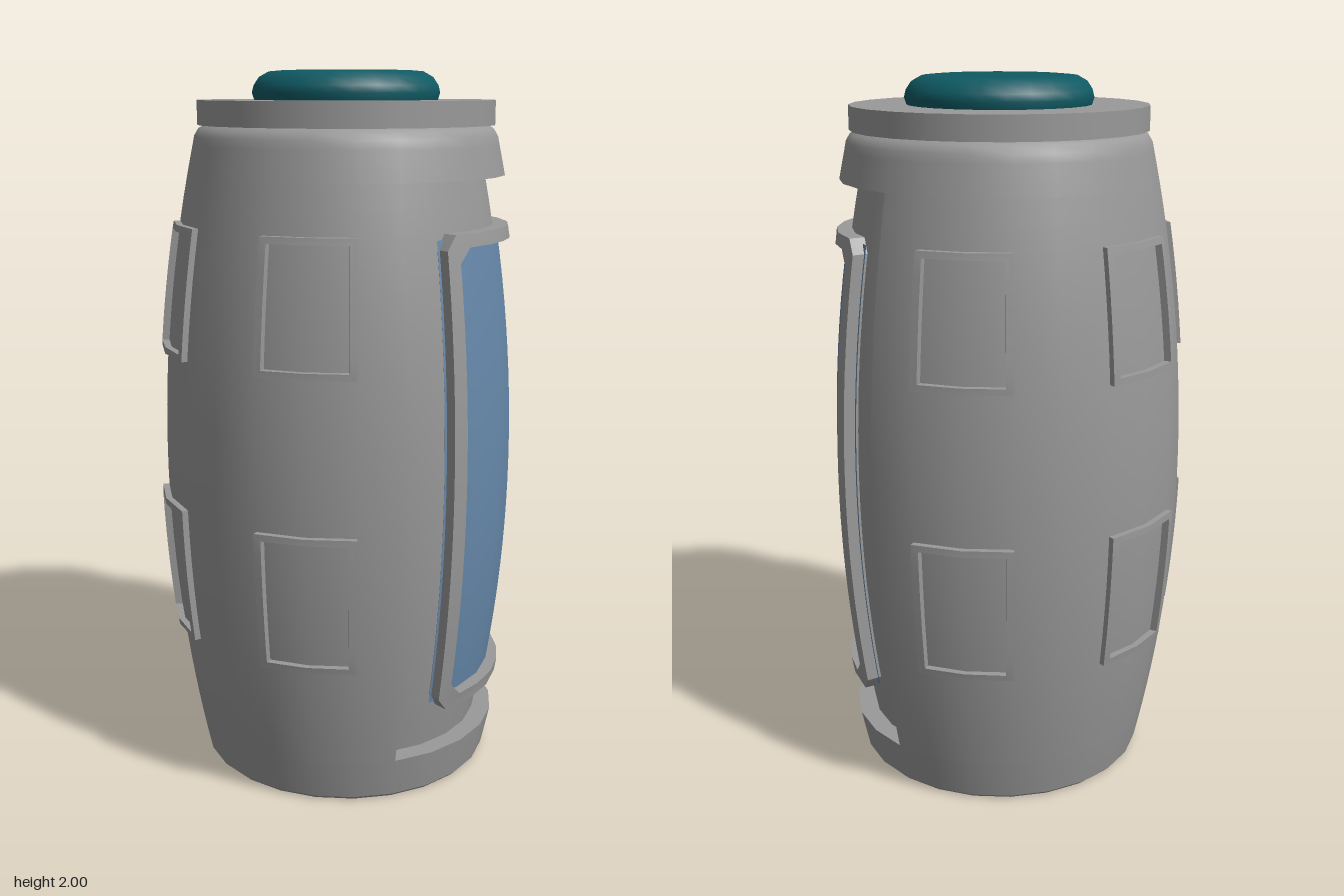
import * as THREE from 'three';
import { toCreasedNormals } from 'three/addons/utils/BufferGeometryUtils.js';

const STEP = Math.PI / 12; // 24-sided barrel
const deg = THREE.MathUtils.degToRad;

// Barrel radius at a given height
const radius = (y) => 0.525 - 0.124 * (y - 0.92) ** 2;

export function createModel() {
  const group = new THREE.Group();
  const gray = new THREE.MeshStandardMaterial({ color: 0x999999 });
  gray.name = 'grayMetal';
  const blue = new THREE.MeshStandardMaterial({ color: 0x6688aa });
  blue.name = 'blueGlass';
  const teal = new THREE.MeshStandardMaterial({ color: 0x0f5a63 });
  teal.name = 'tealCap';

  const barrel = new THREE.Group();
  barrel.name = 'barrel';
  barrel.position.x = 0.02;
  group.add(barrel);

  const add = (name, geometry, material) => {
    const mesh = new THREE.Mesh(geometry, material);
    mesh.name = name;
    barrel.add(mesh);
  };

  // Barrel-curve points between two heights, moved in or out by an offset
  const curve = (y0, y1, n, off = 0) => Array.from({ length: n + 1 }, (_, i) => {
    const y = y0 + (y1 - y0) * i / n;
    return new THREE.Vector2(radius(y) + off, y);
  });
  const lathe = (points, fromDeg = 0, toDeg = 360) => new THREE.LatheGeometry(
    points, Math.round(deg(toDeg - fromDeg) / STEP), deg(fromDeg), deg(toDeg - fromDeg));
  const profile = (list) => list.map(([r, y]) => new THREE.Vector2(r, y));

  // Rectangular outline (angle, height) wrapped on the barrel, corners cut by ca, cy
  const outline = (mid, half, y0, y1, na, ny, ca = 0, cy = 0) => {
    const pts = [];
    const a0 = mid - half, a1 = mid + half;
    const edge = (p, q, n) => {
      for (let i = 0; i < n + (ca ? 1 : 0); i++) {
        pts.push([p[0] + (q[0] - p[0]) * i / n, p[1] + (q[1] - p[1]) * i / n]);
      }
    };
    edge([a0 + ca, y0], [a1 - ca, y0], na);
    edge([a1, y0 + cy], [a1, y1 - cy], ny);
    edge([a1 - ca, y1], [a0 + ca, y1], na);
    edge([a0, y1 - cy], [a0, y0 + cy], ny);
    return pts;
  };

  // Closed bands of quads joining successive [outline, offset] loops
  const bands = (loops) => {
    const pos = [], index = [];
    const n = loops[0][0].length;
    for (const [pts, off] of loops) {
      for (const [a, y] of pts) {
        const r = radius(y) + off;
        pos.push(Math.sin(deg(a)) * r, y, Math.cos(deg(a)) * r);
      }
    }
    for (let k = 0; k < loops.length - 1; k++) {
      for (let i = 0; i < n; i++) {
        const j = (i + 1) % n, a = k * n, b = a + n;
        index.push(a + i, a + j, b + j, a + i, b + j, b + i);
      }
    }
    const geo = new THREE.BufferGeometry();
    geo.setAttribute('position', new THREE.Float32BufferAttribute(pos, 3));
    geo.setIndex(index);
    return toCreasedNormals(geo, 0.6);
  };

  // Shell: full bands below and above, open at the side recess
  const low = 0.125, high = 1.72;
  add('lowerShell', lathe(curve(0.01, low, 4)), gray);
  add('middleShell', lathe(curve(low, high, 24), 150, 390), gray);
  add('upperShell', lathe(curve(high, 1.8, 4)), gray);
  add('shoulder', lathe([...curve(1.78, 1.8, 1),
    ...profile([[0.424, 1.825], [0.412, 1.845], [0.39, 1.856]])]), gray);
  add('base', toCreasedNormals(lathe(profile([[0, 0], [0.412, 0], [radius(0.01), 0.01]])), 0.5), gray);

  // Side recess: floor and surrounding walls
  const recess = outline(90, 60, low, high, 8, 24);
  add('recessFloor', lathe(curve(low, high, 24, -0.055), 30, 150), gray);
  add('recessWalls', bands([[recess, 0], [recess, -0.055]]), gray);

  // Large window in the recess
  add('windowGlass', lathe(curve(0.27, 1.57, 20, -0.045), 45, 135), blue);
  const frameOut = outline(90, 44, 0.25, 1.585, 6, 20, 4, 0.04);
  const frameIn = outline(90, 39, 0.287, 1.55, 6, 20, 5, 0.04);
  add('windowFrame', bands([[frameOut, -0.056], [frameOut, -0.012],
    [frameIn, -0.012], [frameIn, -0.05]]), gray);

  // Two rows of four small panel frames
  for (const mid of [0, 180, 240, 300]) {
    for (const [y0, y1] of [[0.425, 0.815], [1.235, 1.59]]) {
      const outer = outline(mid, 15, y0, y1, 2, 6);
      const inner = outline(mid, 12.7, y0 + 0.018, y1 - 0.018, 2, 6);
      add('panelFrame', bands([[outer, -0.01], [outer, 0.018],
        [inner, 0.018], [inner, -0.01]]), gray);
    }
  }

  // Lid disc and cap
  const lid = new THREE.CylinderGeometry(0.415, 0.415, 0.067, 24);
  lid.translate(0, 1.8875, 0);
  add('lid', lid, gray);
  add('cap', lathe(profile([[0.255, 1.918], [0.262, 1.94], [0.257, 1.96],
    [0.242, 1.982], [0.215, 1.997], [0.18, 2], [0, 2]])), teal);

  return group;
}
